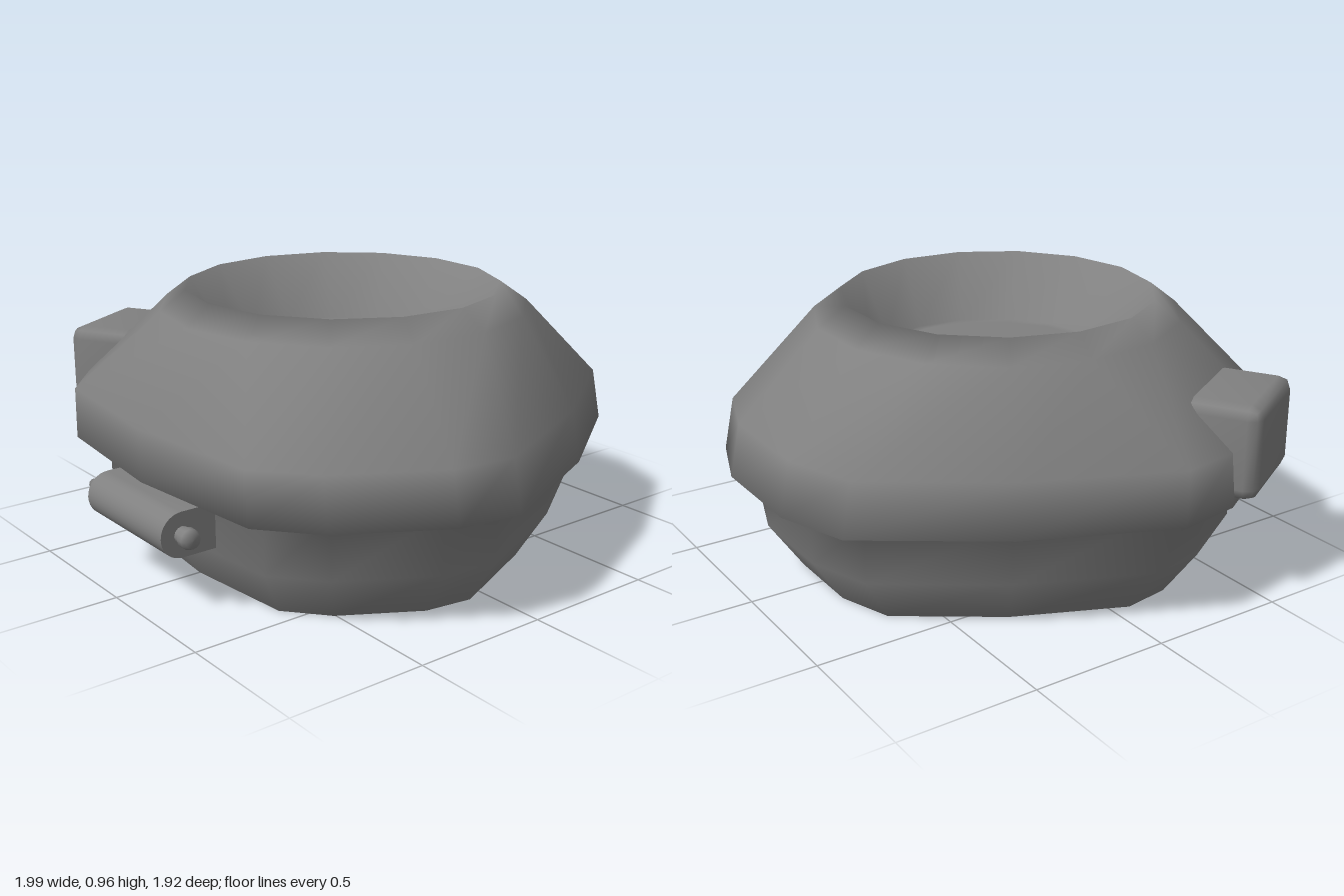
import * as THREE from 'three';
import { RoundedBoxGeometry } from 'three/addons/geometries/RoundedBoxGeometry.js';
import { mergeVertices, toCreasedNormals } from 'three/addons/utils/BufferGeometryUtils.js';

const dark = new THREE.MeshStandardMaterial({ color: 0x808080 });
const darkDouble = new THREE.MeshStandardMaterial({ color: 0x808080, side: THREE.DoubleSide });

// Half of the plan outline (x, z), from the front middle round to the back
const half = [[0, 0.885], [0.56, 0.83], [0.75, 0.67], [0.96, 0.32], [0.995, 0.09], [0.77, -0.42], [0.46, -0.87], [0.2, -0.96]];
const outline = [...half, ...half.slice(1).reverse().map(([x, z]) => [-x, z])];
const N = outline.length;

// Rings of the body: a scaled outline, or a circle near the top opening
const plan = (y, s, dz = 0) => outline.map(([x, z]) => [x * s, y, z * s + dz]);
const circle = (y, r, cz) => outline.map((_, i) => {
  const a = (i / N) * Math.PI * 2;
  return [Math.sin(a) * r, y, cz + Math.cos(a) * r];
});

// Joins closed rings, listed from bottom to top, with smooth normals
function loft(rings) {
  const index = [];
  for (let i = 0; i < rings.length - 1; i++) {
    for (let j = 0; j < N; j++) {
      const a = i * N + j, b = i * N + ((j + 1) % N);
      index.push(a, b, b + N, a, b + N, a + N);
    }
  }
  const geometry = new THREE.BufferGeometry();
  geometry.setAttribute('position', new THREE.Float32BufferAttribute(rings.flat(2), 3));
  geometry.setIndex(index);
  geometry.computeVertexNormals();
  return geometry;
}

// Chamfered box whose faces share smooth normals
function softBox(w, h, d, chamfer) {
  const box = new RoundedBoxGeometry(w, h, d, 1, chamfer);
  box.deleteAttribute('normal');
  box.deleteAttribute('uv');
  const merged = mergeVertices(box, 1e-3);
  merged.computeVertexNormals();
  return merged;
}

export function createModel() {
  const model = new THREE.Group();
  const add = (name, geometry, material = dark, parent = model) => {
    const mesh = new THREE.Mesh(geometry, material);
    mesh.name = name;
    parent.add(mesh);
    return mesh;
  };

  // Body: open-bottomed lower wall, overhanging shell, rim, sloping well and its floor
  add('bodyShell', loft([
    plan(0, 0.755), plan(0.18, 0.88), plan(0.39, 0.88),
    plan(0.39, 1), plan(0.58, 0.98, 0.02),
    circle(0.89, 0.665, 0.02), circle(0.96, 0.57, 0.025),
    circle(0.72, 0.44, 0), circle(0.72, 0.4, 0), circle(0.72, 0.001, 0),
  ]), darkDouble);

  // Chamfered box set into the right shoulder
  const box = add('sideBox', softBox(0.41, 0.335, 0.28, 0.045));
  box.position.set(-0.793, 0.573, 0.47);
  box.rotation.y = -Math.PI / 3;

  // Front latch: a D-shaped housing with a pin through it
  const latch = new THREE.Group();
  latch.name = 'frontLatch';
  latch.position.set(0, 0.282, 0.882);
  model.add(latch);

  const d = new THREE.Shape();
  d.moveTo(-0.15, -0.08);
  d.lineTo(0, -0.08);
  d.absarc(0, 0, 0.08, -Math.PI / 2, Math.PI / 2, false);
  d.lineTo(-0.15, 0.08);
  d.closePath();
  const dBar = new THREE.ExtrudeGeometry(d, { depth: 0.49, bevelEnabled: false, curveSegments: 8 });
  const housing = add('latchHousing', toCreasedNormals(dBar, 0.8), dark, latch);
  housing.rotation.y = -Math.PI / 2; // shape x becomes z, depth runs along -x
  housing.position.x = 0.25;

  // Pin profile (radius, distance along x): tapered end on the right, blunt on the left
  const profile = [[0, -0.355], [0.018, -0.35], [0.024, -0.32], [0.034, -0.3], [0.034, -0.265], [0.03, -0.25],
    [0.03, 0.265], [0.036, 0.275], [0.036, 0.3], [0.028, 0.318], [0, 0.32]];
  const pin = add('latchPin', new THREE.LatheGeometry(profile.map(([r, x]) => new THREE.Vector2(r, x)), 12), dark, latch);
  pin.rotation.z = -Math.PI / 2;

  return model;
}
